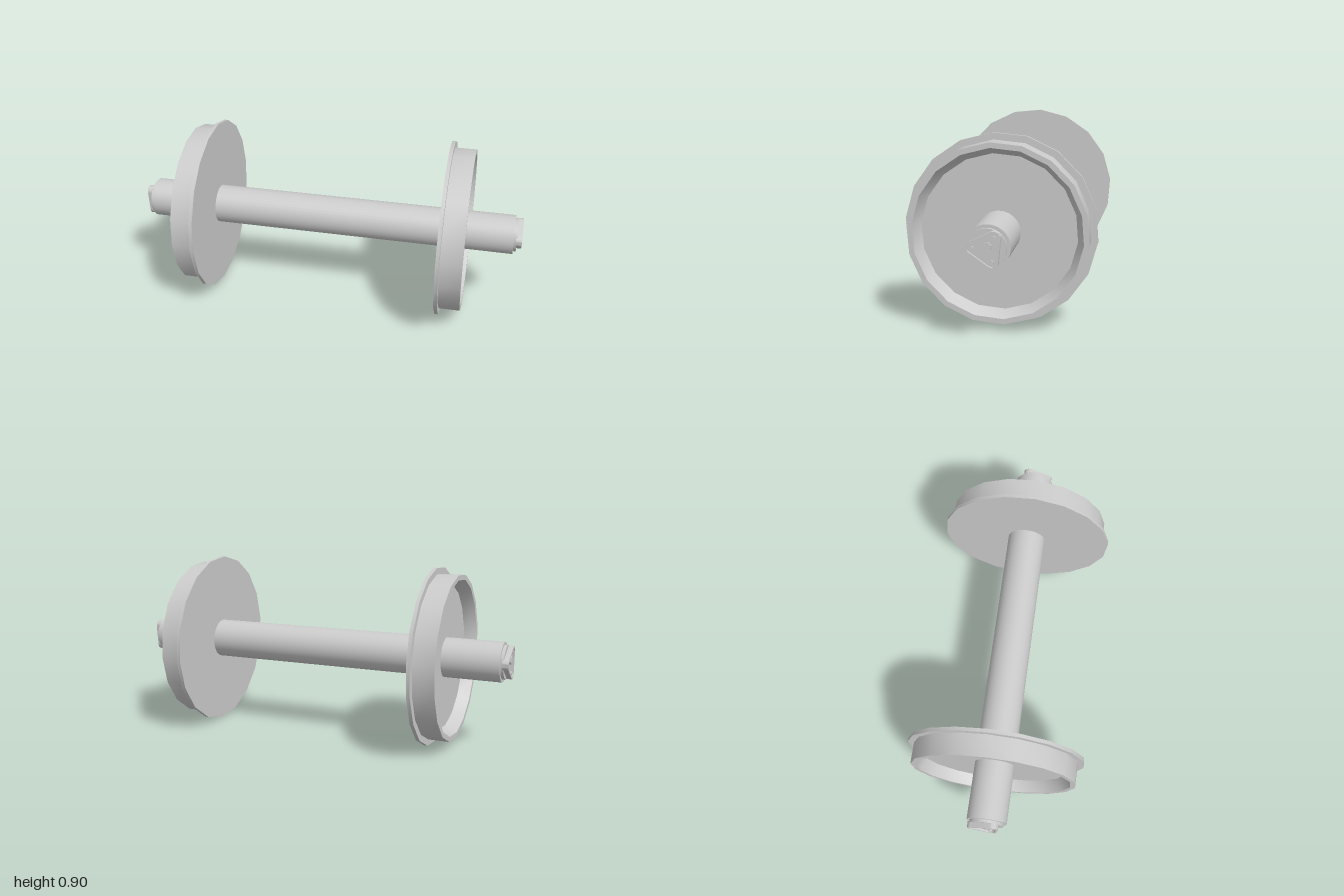
import * as THREE from 'three';
import { toCreasedNormals } from 'three/addons/utils/BufferGeometryUtils.js';

const AXLE_Y = 0.45;
const material = new THREE.MeshStandardMaterial({ color: 0xcccccc });

function part(name, geometry, crease = 0.6) {
  const mesh = new THREE.Mesh(toCreasedNormals(geometry, crease), material);
  mesh.name = name;
  return mesh;
}

// Cylinder along x from x0 to x1, centred at (u, v) on the end face (u = -z, v = y)
function rod(name, r, x0, x1, sides, u = 0, v = 0, turn = 0) {
  const g = new THREE.CylinderGeometry(r, r, x1 - x0, sides, 1, false, turn);
  g.rotateZ(-Math.PI / 2).translate((x0 + x1) / 2, v, -u);
  return part(name, g);
}

// Extrude an end-face shape along x from x0 to x1
function plate(name, shape, x0, x1) {
  const g = new THREE.ExtrudeGeometry(shape, { depth: x1 - x0, bevelEnabled: false, curveSegments: 8 });
  g.rotateY(Math.PI / 2).translate(x0, 0, 0);
  return part(name, g);
}

// Triangle with corners rounded by radius r around the bolt centres
const bolts = [[-0.062, 0.002], [0.022, -0.057], [0.032, 0.048]];
function roundedTriangle(r) {
  const s = new THREE.Shape();
  const normalAngle = (a, b) => Math.atan2(a[0] - b[0], b[1] - a[1]);
  bolts.forEach((p, i) => {
    const prev = bolts[(i + 2) % 3], next = bolts[(i + 1) % 3];
    s.absarc(p[0], p[1], r, normalAngle(prev, p), normalAngle(p, next), false);
  });
  s.closePath();
  return s;
}

// Flanged wheel with a tapered recess in its outer face
function wheel() {
  const profile = [
    [0, 0.604], [0.45, 0.604], [0.45, 0.622], [0.418, 0.622],
    [0.418, 0.73], [0.393, 0.73], [0.362, 0.67], [0, 0.67],
  ].map(([r, x]) => new THREE.Vector2(r, x));
  const g = new THREE.LatheGeometry(profile, 18, THREE.MathUtils.degToRad(-85.6));
  g.rotateZ(-Math.PI / 2);
  return part('wheel', g);
}

// Axle end cap: disc, raised triangular rim, three bolts and a hex nut
function endCap() {
  const cap = new THREE.Group();
  cap.name = 'endCap';
  cap.add(rod('capDisc', 0.085, 0.95, 0.975, 32));
  cap.add(plate('capPlate', roundedTriangle(0.03), 0.97, 0.988));
  const rim = roundedTriangle(0.03);
  rim.holes.push(roundedTriangle(0.02));
  cap.add(plate('capRim', rim, 0.988, 1));
  for (const [u, v] of bolts) cap.add(rod('capBolt', 0.009, 0.98, 0.997, 12, u, v));
  cap.add(rod('hexNut', 0.02, 0.98, 0.997, 6, 0.004, 0.011, 0.25));
  return cap;
}

export function createModel() {
  const model = new THREE.Group();
  model.name = 'wheelset';

  const axle = rod('axle', 0.1, -0.96, 0.96, 40);
  axle.position.y = AXLE_Y;
  model.add(axle);

  // Both ends are the same assembly, turned half round
  for (const [name, turn] of [['leftEnd', 0], ['rightEnd', Math.PI]]) {
    const end = new THREE.Group();
    end.name = name;
    end.add(wheel(), endCap());
    end.position.y = AXLE_Y;
    end.rotation.y = turn;
    model.add(end);
  }
  return model;
}
